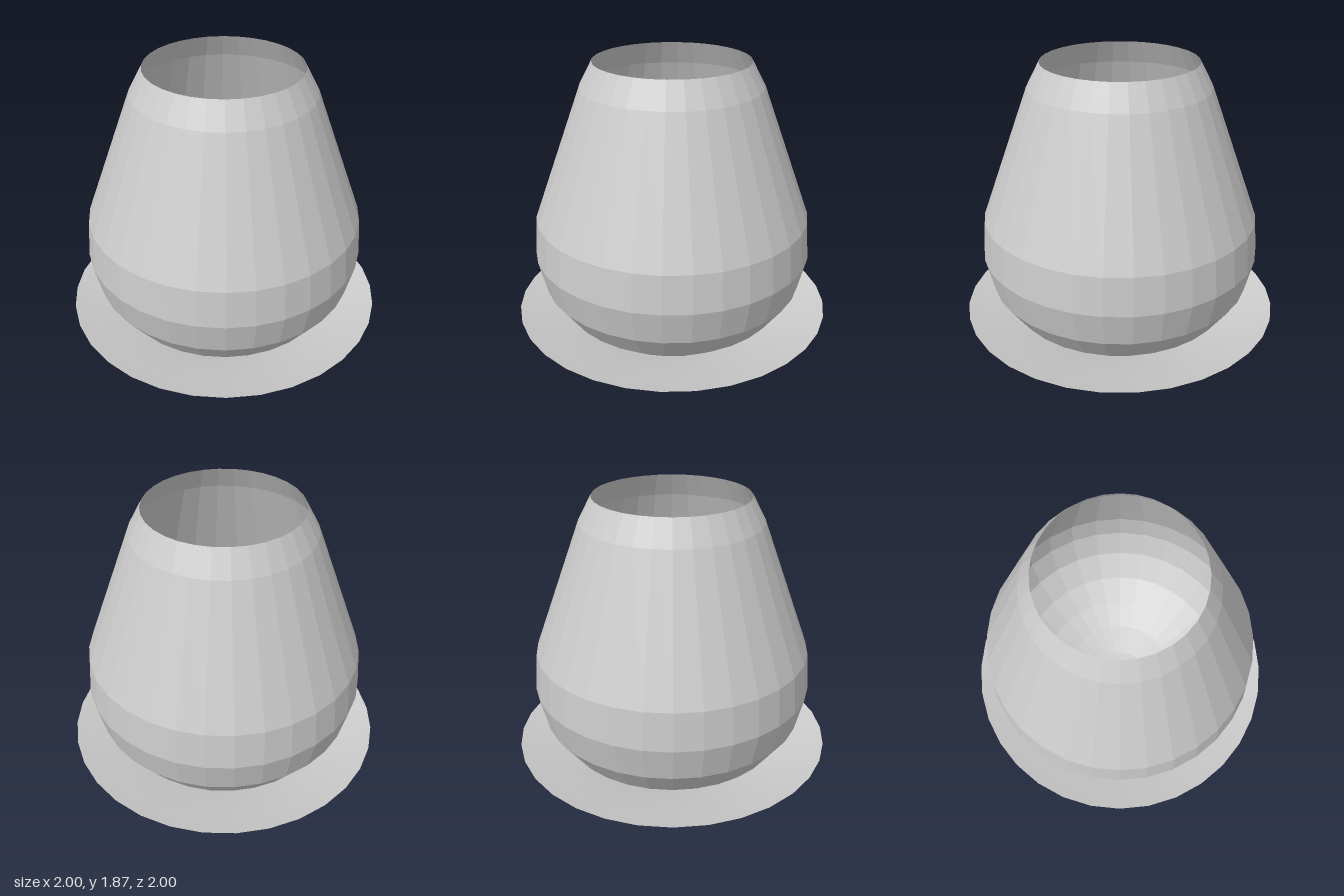
import * as THREE from 'three';

const SIDES = 32;

// Revolve a [radius, height] profile into a thin open shell
function shell(name, profile, flatShading) {
  const points = profile.map(([r, y]) => new THREE.Vector2(r, y));
  const material = new THREE.MeshStandardMaterial({
    color: 0xcccccc, flatShading, side: THREE.DoubleSide,
  });
  const mesh = new THREE.Mesh(new THREE.LatheGeometry(points, SIDES), material);
  mesh.name = name;
  return mesh;
}

export function createModel() {
  const group = new THREE.Group();
  group.name = 'potOnSaucer';

  // Faceted pot: rounded base, widest low down, tapering to an open mouth
  group.add(shell('pot', [
    [0, 0.015], [0.19, 0.04], [0.38, 0.095], [0.55, 0.175], [0.70, 0.29],
    [0.82, 0.46], [0.87, 0.675], [0.85, 0.91], [0.55, 1.72], [0.47, 1.87],
  ], true));

  // Smooth shallow saucer flaring out to a thin rim
  group.add(shell('saucer', [
    [0, 0], [0.1, 0.008], [0.2, 0.027], [0.37, 0.078], [0.55, 0.14],
    [0.75, 0.2], [0.89, 0.235], [1, 0.267],
  ], false));

  return group;
}
